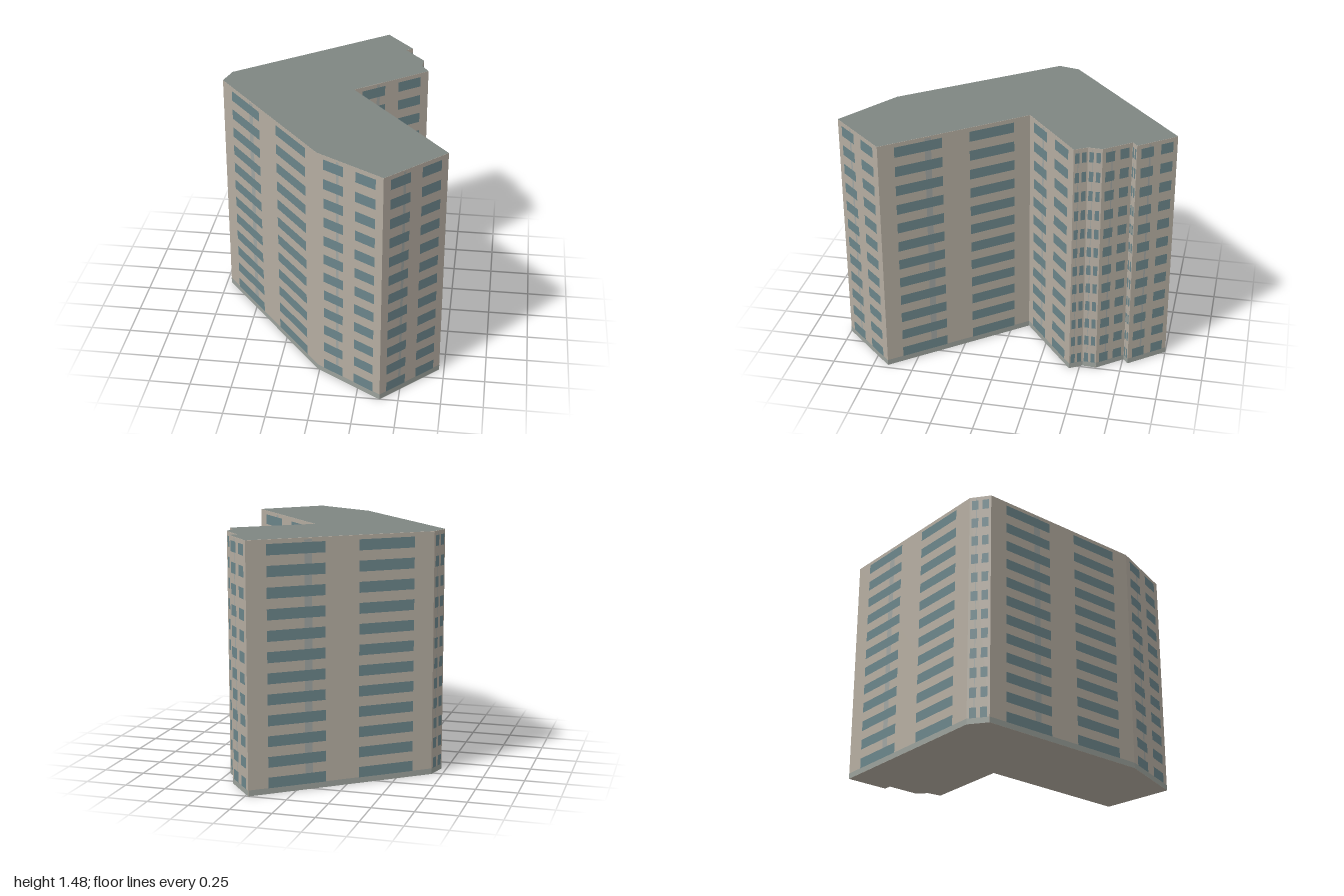
import * as THREE from 'three';
import { mergeGeometries } from 'three/addons/utils/BufferGeometryUtils.js';

const HEIGHT = 1.48, FLOORS = 12, PLINTH = 0.035;

// Footprint corners as [x, z], clockwise seen from above
const PLAN = [
  [0.23, -1], [0.405, -0.785], [0.365, -0.755], [0.49, -0.6], [0.485, -0.515], [0.53, -0.44],
  [0.1, -0.105], [0.72, 0.66], [0.39, 1], [-0.01, 0.75], [-0.72, -0.14], [-0.685, -0.27],
];

const material = (color) => new THREE.MeshStandardMaterial({ color, roughness: 0.9 });

function named(name, geometry, color) {
  const mesh = new THREE.Mesh(geometry, material(color));
  mesh.name = name;
  return mesh;
}

// Flat panel on the wall from left to right corner; u0..u1 are fractions of the wall length
function panel(left, right, u0, u1, y0, y1, offset) {
  const dx = right[0] - left[0], dz = right[1] - left[1];
  const length = Math.hypot(dx, dz), u = (u0 + u1) / 2;
  return new THREE.PlaneGeometry((u1 - u0) * length, y1 - y0)
    .rotateY(Math.atan2(-dz, dx))
    .translate(
      left[0] + dx * u - (dz / length) * offset,
      (y0 + y1) / 2,
      left[1] + dz * u + (dx / length) * offset,
    );
}

export function createModel() {
  const building = new THREE.Group();
  building.name = 'apartmentBlock';

  // Solid block and roof
  const shape = new THREE.Shape(PLAN.map(([x, z]) => new THREE.Vector2(x, -z)));
  const block = new THREE.ExtrudeGeometry(shape, { depth: HEIGHT, bevelEnabled: false });
  building.add(named('walls', block.rotateX(-Math.PI / 2), 0xb5ada1));
  const roof = new THREE.ShapeGeometry(shape).rotateX(-Math.PI / 2).translate(0, HEIGHT + 0.001, 0);
  building.add(named('roof', roof, 0x7f8682));

  // Every wall carries two window columns, one vertical strip and a plinth band
  const windows = [], strips = [], plinths = [];
  PLAN.forEach((right, i) => {
    const left = PLAN[(i + 1) % PLAN.length];
    plinths.push(panel(left, right, 0, 1, 0, PLINTH, 0.001));
    strips.push(panel(left, right, 0.3, 0.34, PLINTH, HEIGHT - 0.01, 0.001));
    for (let floor = 0; floor < FLOORS; floor++) {
      const y = 0.034 + (floor * HEIGHT) / FLOORS;
      for (const [u0, u1] of [[0.105, 0.41], [0.59, 0.89]]) {
        windows.push(panel(left, right, u0, u1, y, y + 0.064, 0.002));
      }
    }
  });
  building.add(named('windows', mergeGeometries(windows), 0x6b858a));
  building.add(named('verticalStrips', mergeGeometries(strips), 0xa0a5a2));
  building.add(named('plinth', mergeGeometries(plinths), 0x9ba19b));

  return building;
}
